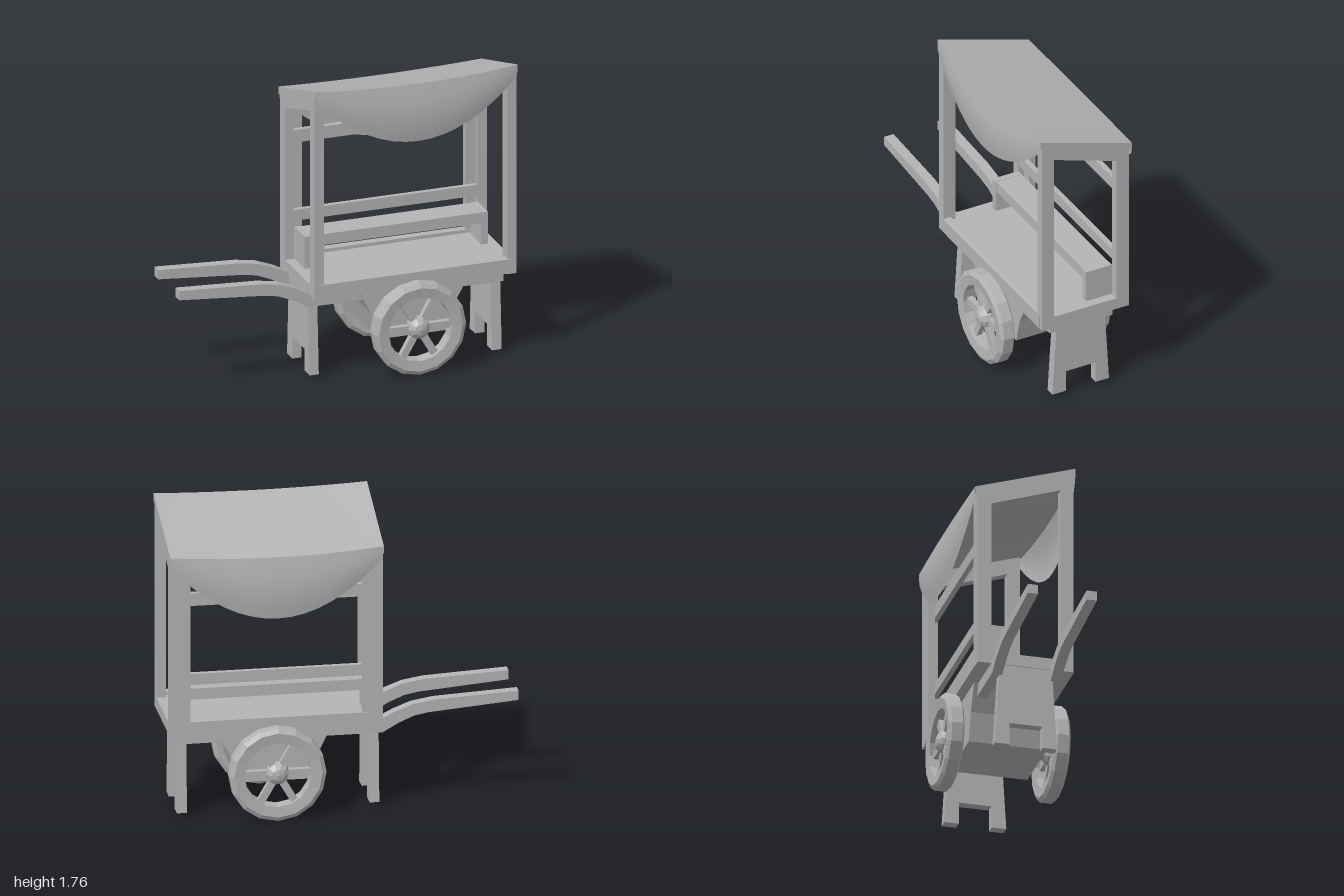
import * as THREE from 'three';

export function createModel() {
  const root = new THREE.Group();
  root.name = 'handCart';
  const grey = new THREE.MeshStandardMaterial({ color: 0xb4b4b4, flatShading: true, side: THREE.DoubleSide });
  grey.name = 'plainGrey';
  const cloth = new THREE.MeshStandardMaterial({ color: 0xb4b4b4, side: THREE.DoubleSide });
  cloth.name = 'clothGrey';

  const add = (name, geo, parent = root, mat = grey) => {
    const m = new THREE.Mesh(geo, mat);
    m.name = name;
    parent.add(m);
    return m;
  };
  // box given by its limits on each axis
  const box = (name, x0, x1, y0, y1, z0, z1) => add(name,
    new THREE.BoxGeometry(x1 - x0, y1 - y0, z1 - z0).translate((x0 + x1) / 2, (y0 + y1) / 2, (z0 + z1) / 2));
  const polygon = pts => pts.map(p => new THREE.Vector2(p[0], p[1]));
  const extrude = (pts, depth, hole) => {
    const s = new THREE.Shape(polygon(pts));
    if (hole) s.holes.push(new THREE.Path(polygon(hole)));
    return new THREE.ExtrudeGeometry(s, { depth, bevelEnabled: false });
  };
  // outline drawn in (z, y), extruded from x0 to x1
  const sidePlate = (pts, x0, x1, hole) =>
    extrude(pts, x1 - x0, hole).rotateY(-Math.PI / 2).translate(x1, 0, 0);

  // deck with raised long edges
  box('deck', -0.19, 0.96, 0.51, 0.575, -0.265, 0.265);
  for (const s of [-1, 1]) {
    const z = s * 0.255;
    box('deckEdge', -0.195, 0.96, 0.51, 0.595, z - 0.025, z + 0.025);
  }

  // end frames: two posts, sill and sloping head in one piece
  const outer = [[-0.28, 0.505], [0.275, 0.505], [0.275, 1.74], [-0.28, 1.565]];
  const inner = [[-0.2, 0.575], [-0.2, 1.49], [0.2, 1.62], [0.2, 0.575]];
  for (const x of [-0.22, 0.93]) add('endFrame', sidePlate(outer, x, x + 0.055, inner));

  // back posts and rails
  box('backPost', -0.165, -0.105, 0.58, 1.56, -0.275, -0.235);
  box('backPost', 0.87, 0.93, 0.58, 1.56, -0.275, -0.235);
  box('lowerBackRail', -0.165, 0.93, 0.8, 0.865, -0.235, -0.205);
  box('upperBackRail', -0.165, 0.93, 1.27, 1.345, -0.235, -0.205);

  // raised shelf
  box('shelfBoard', -0.125, 0.89, 0.7, 0.765, -0.2, -0.04);
  box('shelfEnd', -0.165, -0.125, 0.575, 0.767, -0.2, -0.035);
  box('shelfEnd', 0.89, 0.93, 0.575, 0.767, -0.2, -0.035);

  // handles running on as beams under the deck
  const handle = [[0.935, 0.437], [0.935, 0.51], [-0.21, 0.515], [-0.3, 0.56], [-0.4, 0.598], [-0.52, 0.618],
    [-1, 0.643], [-1, 0.588], [-0.49, 0.545], [-0.41, 0.53], [-0.32, 0.492], [-0.23, 0.44]];
  for (const z of [-0.2, 0.14]) add('handle', extrude(handle, 0.06).translate(0, 0, z));

  // leg panels with a notch at the foot
  const leg = [[-0.14, 0.51], [-0.155, 0.44], [-0.18, 0.02], [-0.095, 0.02], [-0.095, 0.15], [0.095, 0.15],
    [0.095, 0.02], [0.18, 0.02], [0.155, 0.44], [0.14, 0.51]];
  add('legPanel', sidePlate(leg, -0.215, -0.16));
  add('legPanel', sidePlate(leg, 0.875, 0.932));

  // tapered box carrying the axle
  add('axleBox', extrude([[0.18, 0.2], [0.59, 0.2], [0.635, 0.36], [0.72, 0.51], [0.06, 0.51], [0.135, 0.36]], 0.45)
    .translate(0, 0, -0.225));
  add('axle', new THREE.CylinderGeometry(0.04, 0.04, 0.58, 8).rotateX(Math.PI / 2).translate(0.385, 0.275, 0));

  // wheels: bevelled rim, six spokes, domed hub
  const rim = polygon([[0.19, -0.04], [0.25, -0.047], [0.275, -0.032], [0.275, 0.032], [0.25, 0.047], [0.19, 0.04], [0.19, -0.04]]);
  for (const s of [-1, 1]) {
    const wheel = new THREE.Group();
    wheel.name = s > 0 ? 'frontWheel' : 'backWheel';
    wheel.position.set(0.385, 0.275, s * 0.307);
    add('rim', new THREE.LatheGeometry(rim, 16).rotateX(Math.PI / 2), wheel);
    for (let i = 0; i < 6; i++) {
      add('spoke', new THREE.BoxGeometry(0.16, 0.042, 0.035).translate(0.12, 0, 0).rotateZ(i * Math.PI / 3), wheel);
    }
    add('hub', new THREE.SphereGeometry(0.07, 10, 6).rotateX(Math.PI / 2).scale(1, 1, 0.8), wheel);
    root.add(wheel);
  }

  // cloth sheets: a grid bent by a rule of t (-1..1 across) and v (0..1 along)
  const sheet = (name, rule, nv) => {
    const g = new THREE.PlaneGeometry(2, 1, 16, nv);
    const p = g.attributes.position;
    for (let i = 0; i < p.count; i++) {
      p.setXYZ(i, ...rule(p.getX(i), 0.5 - p.getY(i)));
    }
    g.computeVertexNormals();
    return add(name, g, root, cloth);
  };
  const cx = 0.383, half = 0.605;
  const sag = t => 0.022 * (1 - t * t);
  const ridge = [0.285, 1.762], eave = [-0.295, 1.583];
  const roof = (t, v, drop) => {
    const bow = 0.02 * (1 - t * t);
    return [cx + half * t,
      eave[1] + (ridge[1] - eave[1]) * v - sag(t) - drop,
      eave[0] - bow + (ridge[0] - eave[0] + 2 * bow) * v];
  };
  sheet('canopyTop', (t, v) => roof(t, v, 0), 6);
  sheet('canopyUnderside', (t, v) => roof(t, v, 0.02), 6);

  // narrow hems over the end frames
  for (const s of [-1, 1]) {
    sheet('canopyHem', (t, v) => {
      const p = roof(s, (t + 1) / 2, 0.045 * v);
      return [p[0], p[1], p[2]];
    }, 1);
  }

  // front and back swags, hanging deepest in the middle
  const swag = (name, side, top, z0, depth) => sheet(name, (t, v) => {
    const s = 1 - t * t;
    return [cx + half * t * (1 - 0.01 * v),
      top - sag(t) - v * (0.07 + depth * s),
      side * (z0 + 0.02 * s + 0.028 * s * Math.sin(Math.PI * Math.min(1, v * 0.85)))];
  }, 6);
  swag('frontSwag', 1, 1.76, 0.285, 0.27);
  swag('backSwag', -1, 1.583, 0.295, 0.29);

  return root;
}
